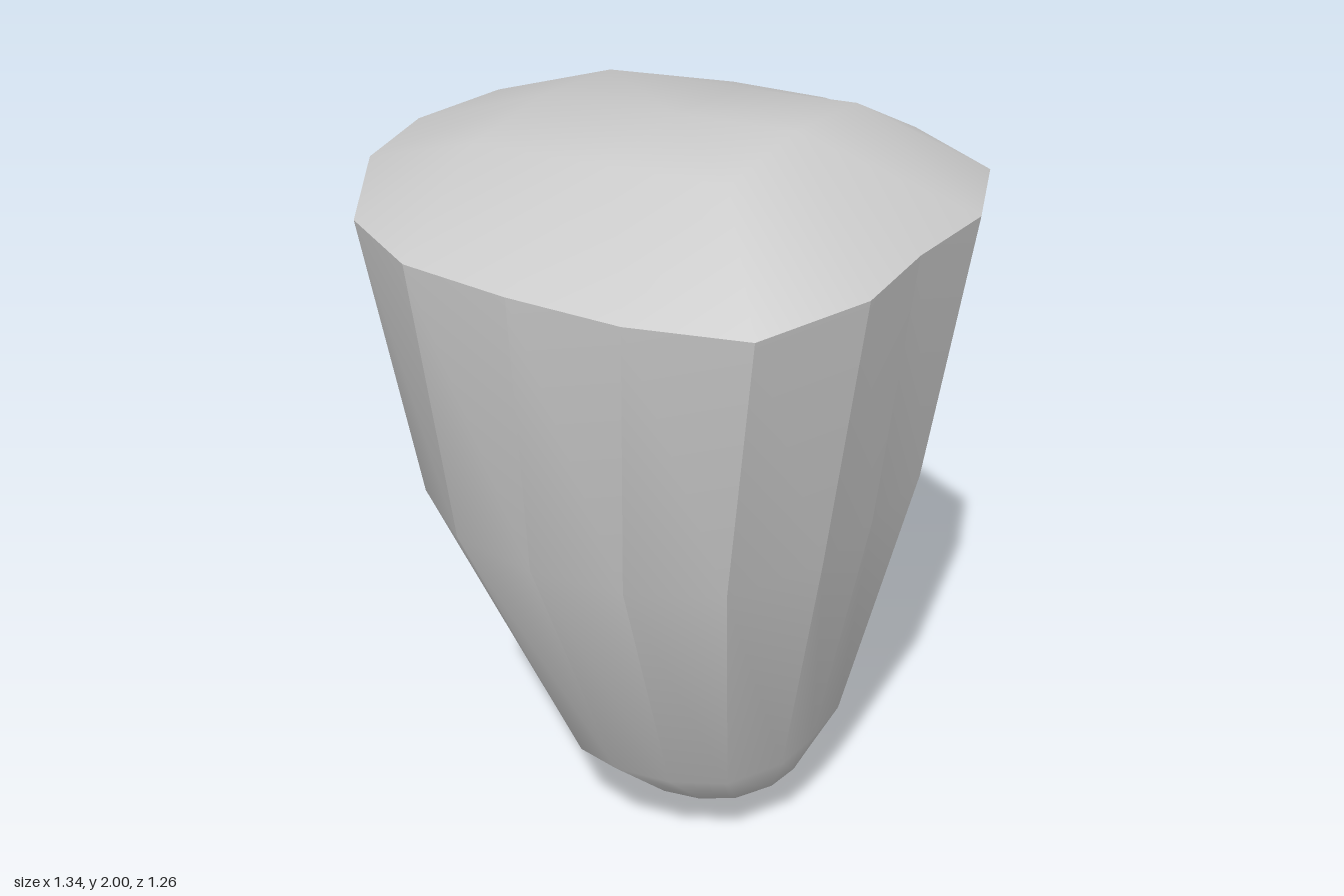
import * as THREE from 'three';

const material = new THREE.MeshStandardMaterial({ color: 0xcccccc });

function meshFrom(name, points, index) {
  const geometry = new THREE.BufferGeometry();
  geometry.setAttribute('position', new THREE.Float32BufferAttribute(points.flat(), 3));
  geometry.setIndex(index);
  geometry.computeVertexNormals();
  const mesh = new THREE.Mesh(geometry, material);
  mesh.name = name;
  return mesh;
}

// Rim outline [x, y, z], starting at the back corner on the -x side and running towards +x
const rim = [
  [-0.45, 1.78, -0.51], [-0.18, 1.793, -0.605], [0.06, 1.797, -0.632], [0.32, 1.793, -0.602],
  [0.56, 1.78, -0.51], [0.67, 1.793, -0.25], [0.658, 1.797, 0], [0.67, 1.793, 0.23],
  [0.56, 1.78, 0.49], [0.32, 1.793, 0.6], [0.06, 1.797, 0.63], [-0.21, 1.793, 0.62],
  [-0.45, 1.78, 0.49], [-0.62, 1.793, 0.23], [-0.672, 1.79, -0.01], [-0.62, 1.793, -0.25],
];

// Domed top: a 5 x 5 grid whose border is the rim
function createCap() {
  const points = [], index = [];
  const border = [0, 1, 2, 3, 4, 9, 14, 19, 24, 23, 22, 21, 20, 15, 10, 5];
  const xs = [-0.3, 0.05, 0.35], ys = [1.935, 1.97, 2], zs = [-0.26, 0, 0.26];
  for (let r = 0; r < 5; r++) {
    for (let c = 0; c < 5; c++) {
      const k = border.indexOf(r * 5 + c);
      points.push(k >= 0 ? rim[k] : [xs[c - 1], ys[c - 1] - (r === 2 ? 0 : 0.025), zs[r - 1]]);
    }
  }
  for (let r = 0; r < 4; r++) {
    for (let c = 0; c < 4; c++) {
      const a = r * 5 + c, b = a + 1, d = a + 5, e = a + 6;
      // Diagonals run from the corners towards the middle
      if ((r < 2) === (c < 2)) index.push(a, d, e, a, e, b);
      else index.push(a, d, b, b, d, e);
    }
  }
  return meshFrom('domedTop', points, index);
}

// Tapering body: the rim outline shrinks, rounds off and leans to the back
function createBody() {
  const n = rim.length;
  // y, centre x, half width, centre z, half depth, roundness, front and back corner cut on the -x side
  const sections = [
    [1.1, -0.005, 0.575, -0.035, 0.595, 0.3, 0.05, 0.06],
    [0.33, -0.005, 0.375, -0.155, 0.375, 0.5, 0.18, 0.1],
    [0.15, 0.03, 0.25, -0.22, 0.26, 0.8, 0.03, 0.03],
    [0.012, 0.065, 0.075, -0.285, 0.085, 1, 0, 0],
  ];
  const rings = [rim, ...sections.map(([y, cx, hx, cz, hz, round, front, back]) =>
    rim.map(([rx, , rz]) => {
      const u = rx / 0.67, v = rz / 0.63, r = Math.hypot(u, v);
      const cut = u < 0 ? (v > 0 ? front : back) * Math.abs(2 * u * v) / (r * r) : 0;
      const s = (1 + round * (1 / r - 1)) * (1 - cut);
      return [cx + u * s * hx, y - 0.3 * cut, cz + v * s * hz];
    }))];

  // The two upper rings have their own corners per facet, so the facets fade out downwards
  const points = [], index = [];
  rings.forEach((ring, j) => ring.forEach((p, i) => {
    points.push(p);
    if (j < 2) points.push(ring[(i + 1) % n]);
  }));
  const tip = points.push([0.04, 0, -0.29]) - 1;
  const id = (j, i, side) => (j < 2 ? (j * n + i) * 2 + side : (j + 2) * n + (i + side) % n);
  for (let j = 0; j < rings.length; j++) {
    for (let i = 0; i < n; i++) {
      const a = id(j, i, 0), b = id(j, i, 1);
      if (j === rings.length - 1) index.push(a, b, tip);
      else index.push(a, b, id(j + 1, i, 0), b, id(j + 1, i, 1), id(j + 1, i, 0));
    }
  }
  return meshFrom('taperedBody', points, index);
}

export function createModel() {
  const group = new THREE.Group();
  group.name = 'taperedStone';
  group.add(createCap(), createBody());
  return group;
}
